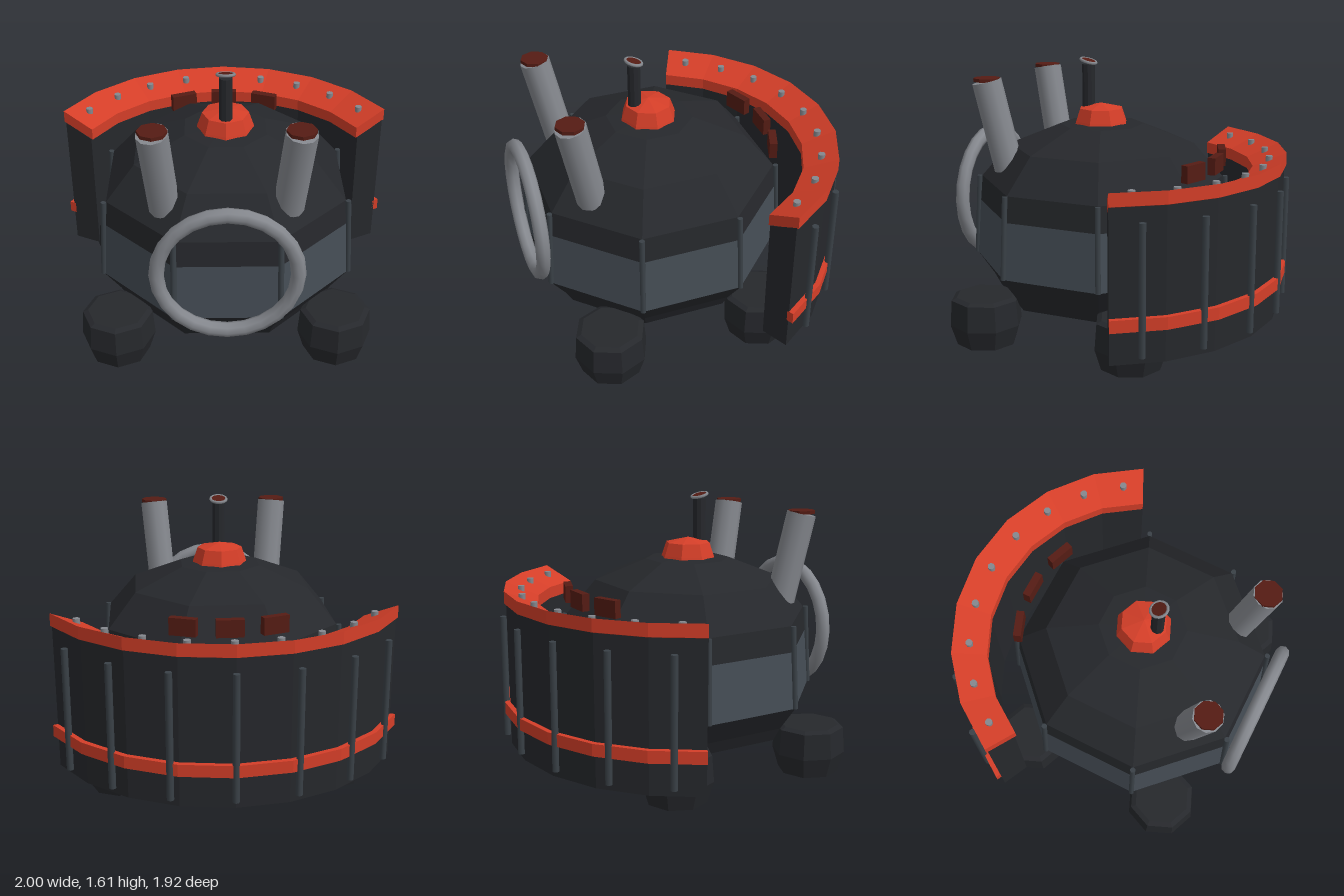
import * as THREE from 'three';

const mat = (color, flat = true) =>
  new THREE.MeshStandardMaterial({ color, flatShading: flat, side: THREE.DoubleSide });
const DARK = mat(0x26282c), GLASS = mat(0x454d55), RED = mat(0xd43e28), MAROON = mat(0x551c14);
const ROD = mat(0x3a4147, false), STEEL = mat(0x85888e, false);

const CZ = 0.16;                       // shared axis of hull and shield
const K = 1 / Math.cos(Math.PI / 8);   // octagon apothem to corner radius
const ARC = THREE.MathUtils.degToRad(64);
const v2 = (pts, k = 1) => pts.map(([r, y]) => new THREE.Vector2(r * k, y));

export function createModel() {
  const root = new THREE.Group();
  const add = (name, geo, material, x = 0, y = 0, z = 0, parent = root) => {
    const m = new THREE.Mesh(geo, material);
    m.name = name;
    m.position.set(x, y, z);
    parent.add(m);
    return m;
  };
  // Cylinder between two points
  const bar = (name, a, b, r, material, sides = 8) => {
    const d = b.clone().sub(a);
    const m = add(name, new THREE.CylinderGeometry(r, r, d.length(), sides), material);
    m.position.copy(a).add(b).multiplyScalar(0.5);
    m.quaternion.setFromUnitVectors(new THREE.Vector3(0, 1, 0), d.normalize());
    return m;
  };
  // Point on the shared axis at an angle measured from the back
  const back = (r, a, y) => new THREE.Vector3(r * Math.sin(a), y, CZ - r * Math.cos(a));
  // Eight-sided hull piece with a flat front
  const hull = (name, pts, material) =>
    add(name, new THREE.LatheGeometry(v2(pts, K), 8, Math.PI / 8), material, 0, 0, CZ);

  // Hull, window band and dome
  hull('hullBottom', [[0, 0.175], [0.58, 0.2], [0.62, 0.28], [0.71, 0.42]], DARK);
  hull('windowBand', [[0.71, 0.42], [0.685, 0.75]], GLASS);
  hull('dome', [[0.685, 0.75], [0.67, 0.9], [0.51, 1.1], [0.23, 1.22], [0, 1.24]], DARK);
  for (let i = 0; i < 8; i++) {
    const a = (i + 0.5) * Math.PI / 4;
    bar('windowPost', back(0.768, a, 0.42), back(0.74, a, 0.9), 0.016, ROD);
  }

  // Feet
  const foot = new THREE.LatheGeometry(
    v2([[0, 0], [0.175, 0], [0.212, 0.12], [0.2, 0.27], [0.17, 0.285], [0, 0.285]]), 8);
  for (const x of [-0.625, 0.625]) for (const z of [0.625, -0.29]) add('foot', foot, DARK, x, 0, z);

  // Curved rear shield: an arc swept from a closed section, with end faces
  const arcSolid = (name, section, material) => {
    const g = new THREE.Group();
    g.name = name;
    g.position.z = CZ;
    root.add(g);
    const pts = v2(section);
    add(name + 'Arc', new THREE.LatheGeometry([...pts, pts[0]], 8, Math.PI - ARC, 2 * ARC), material, 0, 0, 0, g);
    for (const s of [-1, 1])
      add(name + 'End', new THREE.ShapeGeometry(new THREE.Shape(pts)), material, 0, 0, 0, g)
        .rotation.y = Math.PI / 2 + s * ARC;
  };
  arcSolid('shieldWall', [[1.08, 0.14], [1.085, 0.995], [0.91, 0.915], [0.91, 0.14]], DARK);
  arcSolid('shieldRim', [[1.096, 0.995], [1.096, 1.068], [0.9, 0.985], [0.9, 0.915]], RED);
  arcSolid('shieldBand', [[1.112, 0.33], [1.112, 0.4], [1.07, 0.4], [1.07, 0.33]], RED);
  for (let i = -3; i <= 3; i++) {
    const a = THREE.MathUtils.degToRad(i * 18.35);
    bar('shieldRod', back(1.1, a, 0.185), back(1.1, a, 0.91), 0.02, ROD);
  }
  for (let i = -4; i <= 4; i++) {
    const a = THREE.MathUtils.degToRad(i * 14.25);
    bar('rimBolt', back(0.995, a, 1.0), back(0.995, a, 1.055), 0.021, STEEL);
  }

  // Small blocks on the back of the dome
  for (let i = -1; i <= 1; i++) {
    const p = back(0.715, i * 0.36, 1.033);
    add('rearBlock', new THREE.BoxGeometry(0.155, 0.1, 0.045), MAROON, p.x, p.y, p.z).rotation.y = -i * 0.36;
  }

  // Leaning exhaust pipes with level caps
  for (const s of [-1, 1]) {
    bar('exhaustPipe', new THREE.Vector3(s * 0.335, 0.975, 0.61),
      new THREE.Vector3(s * 0.38, 1.49, 0.715), 0.086, STEEL, 10);
    add('exhaustCap', new THREE.CylinderGeometry(0.08, 0.08, 0.02, 8), MAROON, s * 0.378, 1.5, 0.715);
  }

  // Large front ring
  add('frontRing', new THREE.TorusGeometry(0.375, 0.041, 8, 24), STEEL, 0, 0.752, 0.915);

  // Roof hatch and periscope
  add('hatch', new THREE.LatheGeometry(
    v2([[0.165, 1.215], [0.158, 1.24], [0.132, 1.315], [0, 1.345]]), 8), RED, 0, 0, 0.165);
  add('periscope', new THREE.CylinderGeometry(0.038, 0.038, 0.27, 10), DARK, 0, 1.435, 0.245);
  const head = new THREE.Group();
  head.name = 'periscopeHead';
  head.position.set(0, 1.588, 0.245);
  head.rotation.x = -0.28;
  root.add(head);
  add('headRing', new THREE.TorusGeometry(0.047, 0.009, 6, 14).rotateX(Math.PI / 2), STEEL, 0, 0, 0, head);
  add('headLens', new THREE.CylinderGeometry(0.042, 0.042, 0.012, 10), MAROON, 0, 0, 0, head);

  return root;
}
